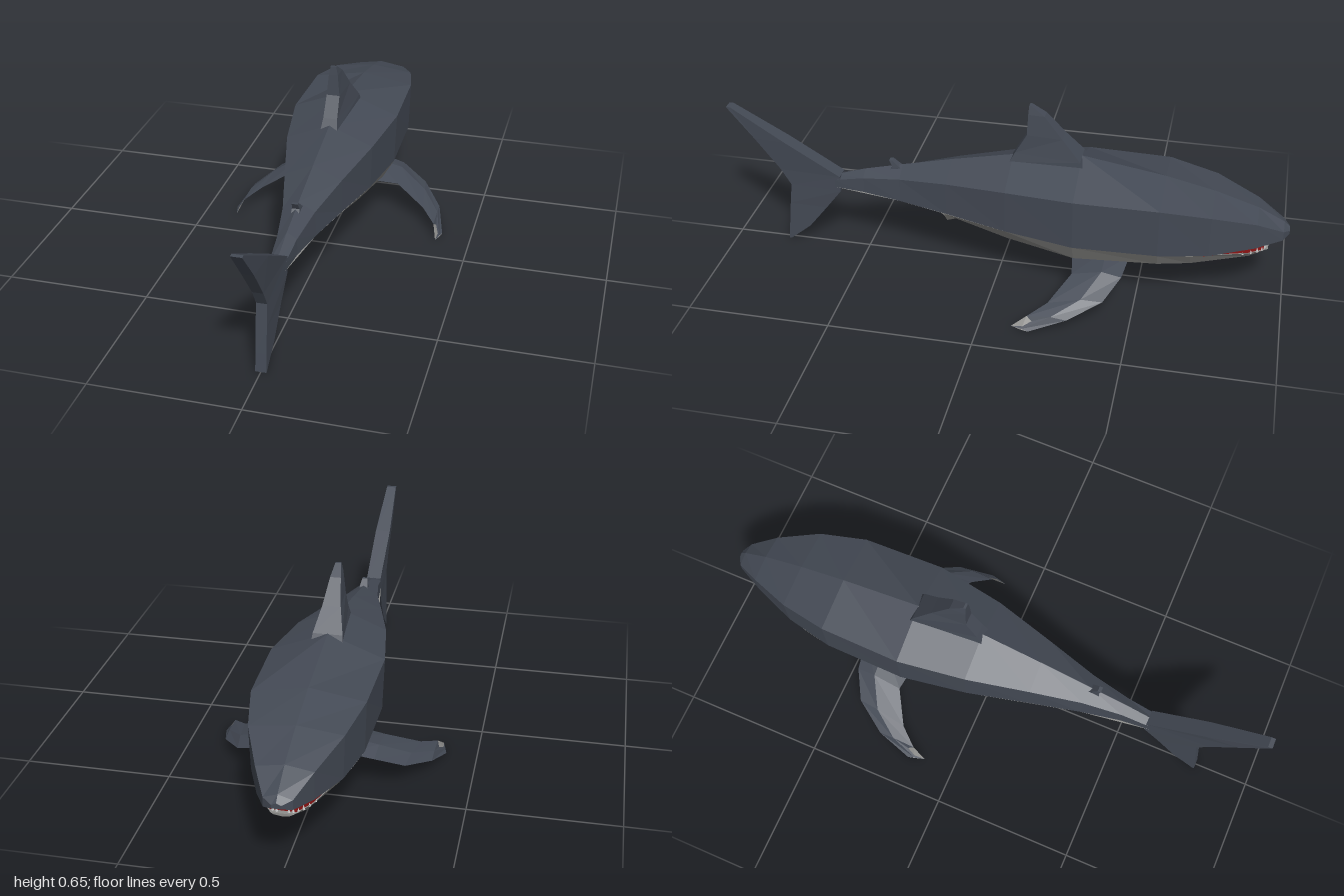
import * as THREE from 'three';

const paint = (color) => new THREE.MeshStandardMaterial({ color, flatShading: true, side: THREE.DoubleSide });

// Skin between cross-sections (arrays of [x, y, z]); closed rings also get end caps
function loft(rings, closed = true) {
  const pos = [];
  const tri = (...p) => p.forEach((q) => pos.push(...q));
  const n = rings[0].length;
  for (let i = 0; i < rings.length - 1; i++) {
    for (let j = 0; j < (closed ? n : n - 1); j++) {
      const k = (j + 1) % n, a = rings[i], b = rings[i + 1];
      tri(a[j], a[k], b[k]);
      tri(a[j], b[k], b[j]);
    }
  }
  if (closed) {
    const first = rings[0], last = rings[rings.length - 1];
    for (let j = 1; j < n - 1; j++) {
      tri(first[0], first[j + 1], first[j]);
      tri(last[0], last[j], last[j + 1]);
    }
  }
  const geo = new THREE.BufferGeometry();
  geo.setAttribute('position', new THREE.Float32BufferAttribute(pos, 3));
  geo.computeVertexNormals();
  return geo;
}

// Upright fin: rows of [y, leading z, trailing z, leading half width, trailing half width]
const uprightFin = (rows) => loft(rows.map(([y, zl, zt, wl, wt]) => [
  [wl, y, zl], [-wl, y, zl], [-wt, y, zt], [wt, y, zt],
]));

export function createModel() {
  const group = new THREE.Group();
  const dark = paint(0x444a55), pale = paint(0x8c8c8a), red = paint(0x8a1414), white = paint(0xeeeeee);
  const add = (name, geo, mat, parent = group) => {
    const mesh = new THREE.Mesh(geo, mat);
    mesh.name = name;
    parent.add(mesh);
    return mesh;
  };

  // Back and flanks: z, lower x, lower y, shoulder x, shoulder y, ridge y
  const back = [
    [-1.0, 0.015, 0.268, 0.015, 0.28, 0.287],
    [-0.98, 0.045, 0.257, 0.045, 0.29, 0.305],
    [-0.89, 0.088, 0.24, 0.09, 0.335, 0.35],
    [-0.74, 0.145, 0.226, 0.15, 0.378, 0.397],
    [-0.57, 0.18, 0.225, 0.185, 0.403, 0.435],
    [-0.28, 0.185, 0.222, 0.192, 0.405, 0.48],
    [-0.04, 0.15, 0.233, 0.155, 0.392, 0.457],
    [0.18, 0.1, 0.244, 0.1, 0.365, 0.41],
    [0.36, 0.06, 0.25, 0.055, 0.335, 0.367],
    [0.5, 0.035, 0.254, 0.033, 0.31, 0.332],
    [0.61, 0.026, 0.256, 0.026, 0.285, 0.295],
  ];
  add('upperBody', loft(back.map(([z, lx, ly, sx, sy, t]) => [
    [lx, ly, z], [sx, sy, z], [0, t, z], [-sx, sy, z], [-lx, ly, z],
  ])), dark);

  // Lower jaw and belly: z, upper x, upper y, bevel x, bevel y, keel y
  const belly = [
    [-0.935, 0.035, 0.209, 0.025, 0.203, 0.199],
    [-0.87, 0.08, 0.212, 0.06, 0.188, 0.178],
    [-0.68, 0.158, 0.2255, 0.12, 0.172, 0.153],
    [-0.57, 0.18, 0.225, 0.145, 0.17, 0.152],
    [-0.28, 0.185, 0.222, 0.145, 0.152, 0.125],
    [-0.04, 0.15, 0.233, 0.11, 0.18, 0.163],
    [0.2, 0.096, 0.244, 0.06, 0.224, 0.216],
    [0.36, 0.06, 0.25, 0.035, 0.24, 0.235],
    [0.61, 0.026, 0.256, 0.018, 0.251, 0.249],
  ];
  add('bellyAndJaw', loft(belly.map(([z, ux, uy, bx, by, k]) => [
    [-ux, uy, z], [-bx, by, z], [0, k, z], [bx, by, z], [ux, uy, z],
  ])), pale);

  // Mouth lining: z, half width, floor y, roof y
  const mouth = [
    [-0.92, 0.04, 0.206, 0.25], [-0.87, 0.076, 0.208, 0.242], [-0.68, 0.154, 0.22, 0.23],
  ];
  add('mouth', loft(mouth.map(([z, w, f, r]) => [[w, f, z], [w, r, z], [-w, r, z], [-w, f, z]])), red);

  // Teeth along both jaws
  const teeth = new THREE.Group();
  teeth.name = 'teeth';
  group.add(teeth);
  const tooth = new THREE.ConeGeometry(0.006, 0.016, 4);
  for (const side of [-1, 1]) {
    for (let i = 0; i < 6; i++) {
      const t = i / 5, x = side * (0.02 + 0.068 * t), z = -0.93 + 0.075 * t * t;
      const upper = add('upperTooth', tooth, white, teeth);
      upper.position.set(x, 0.24 - 0.004 * t, z);
      upper.rotation.x = Math.PI;
      add('lowerTooth', tooth, white, teeth).position.set(x * 0.93, 0.215, z + 0.005);
    }
  }

  // Fins on the centre line
  add('dorsalFin', uprightFin([
    [0.44, -0.3, -0.03, 0.055, 0.03],
    [0.478, -0.28, -0.05, 0.05, 0.025],
    [0.55, -0.215, -0.09, 0.031, 0.023],
    [0.625, -0.15, -0.093, 0.018, 0.016],
    [0.657, -0.103, -0.095, 0.01, 0.01],
  ]), dark);
  add('secondDorsalFin', uprightFin([
    [0.34, 0.34, 0.41, 0.016, 0.014],
    [0.36, 0.37, 0.395, 0.015, 0.013],
    [0.383, 0.395, 0.407, 0.01, 0.01],
  ]), dark);
  add('rearBellyFin', uprightFin([
    [0.16, 0.19, 0.2, 0.008, 0.012],
    [0.197, 0.1, 0.203, 0.012, 0.04],
    [0.235, 0.08, 0.23, 0.03, 0.06],
  ]), pale);
  add('tailFin', uprightFin([
    [0.003, 0.8, 0.807, 0.018, 0.018],
    [0.07, 0.72, 0.8, 0.02, 0.018],
    [0.16, 0.65, 0.79, 0.022, 0.018],
    [0.24, 0.59, 0.78, 0.027, 0.018],
    [0.3, 0.59, 0.815, 0.027, 0.018],
    [0.42, 0.79, 0.905, 0.028, 0.02],
    [0.535, 0.985, 1.0, 0.018, 0.018],
  ]), dark);

  // Swept pectoral fins: leading edge, trailing edge, half thickness
  const stations = [
    [[0.09, 0.15, -0.47], [0.09, 0.135, -0.27], 0.02],
    [[0.19, 0.127, -0.455], [0.2, 0.125, -0.285], 0.017],
    [[0.285, 0.083, -0.405], [0.31, 0.072, -0.222], 0.012],
    [[0.36, 0.045, -0.295], [0.362, 0.045, -0.16], 0.007],
    [[0.394, 0.004, -0.17], [0.378, 0.008, -0.11], 0.002],
  ];
  const surface = (s) => loft(stations.map(([l, t, h]) => {
    const mid = l.map((v, i) => v * 0.6 + t[i] * 0.4 + (i === 1 ? s * h : 0));
    return s > 0 ? [l, mid, t] : [t, mid, l];
  }), false);
  for (const side of [1, -1]) {
    const fin = new THREE.Group();
    fin.name = side > 0 ? 'leftPectoralFin' : 'rightPectoralFin';
    add('finTop', surface(1), dark, fin);
    add('finUnderside', surface(-1), pale, fin);
    fin.scale.x = side;
    group.add(fin);
  }
  return group;
}
